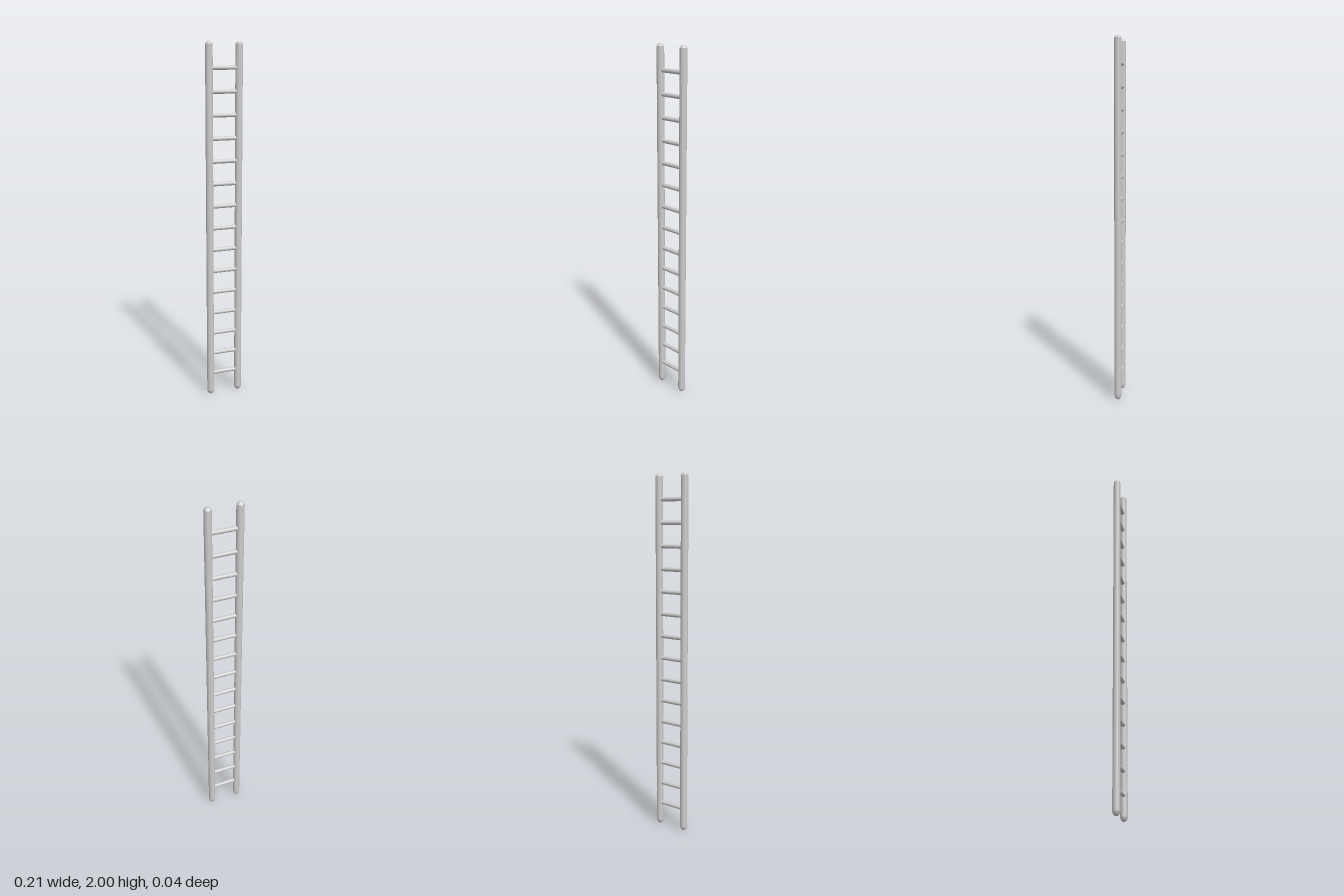
import * as THREE from 'three';

const RAIL_X = 0.084, RAIL_R = 0.02, RUNG_R = 0.0115;
const RUNGS = 15, FIRST_RUNG = 0.132, RUNG_STEP = 0.1238;

const material = new THREE.MeshStandardMaterial({ color: 0xcccccc });

// A turned piece from [radius, height] points
function turned(name, profile) {
  const points = profile.map(([r, y]) => new THREE.Vector2(r, y));
  const mesh = new THREE.Mesh(new THREE.LatheGeometry(points, 32), material);
  mesh.name = name;
  return mesh;
}

// Upright pole with a bevelled top and a rounded foot; separate pieces keep the edges crisp
function makeRail(name, x) {
  const rail = new THREE.Group();
  rail.name = name;
  rail.add(
    turned('foot', [[0, 0], [0.006, 0.001], [0.012, 0.005], [0.017, 0.013], [RAIL_R, 0.024]]),
    turned('pole', [[RAIL_R, 0.024], [RAIL_R, 1.987]]),
    turned('topBevel', [[RAIL_R, 1.987], [0.01, 2]]),
    turned('topCap', [[0.01, 2], [0, 2]])
  );
  rail.position.x = x;
  return rail;
}

export function createModel() {
  const ladder = new THREE.Group();
  ladder.name = 'ladder';
  ladder.add(makeRail('leftRail', RAIL_X), makeRail('rightRail', -RAIL_X));

  // Evenly spaced round rungs, ending inside the rails
  const rungGeometry = new THREE.CylinderGeometry(RUNG_R, RUNG_R, RAIL_X * 2, 24).rotateZ(Math.PI / 2);
  for (let i = 0; i < RUNGS; i++) {
    const rung = new THREE.Mesh(rungGeometry, material);
    rung.name = `rung${i + 1}`;
    rung.position.y = FIRST_RUNG + i * RUNG_STEP;
    ladder.add(rung);
  }
  return ladder;
}
